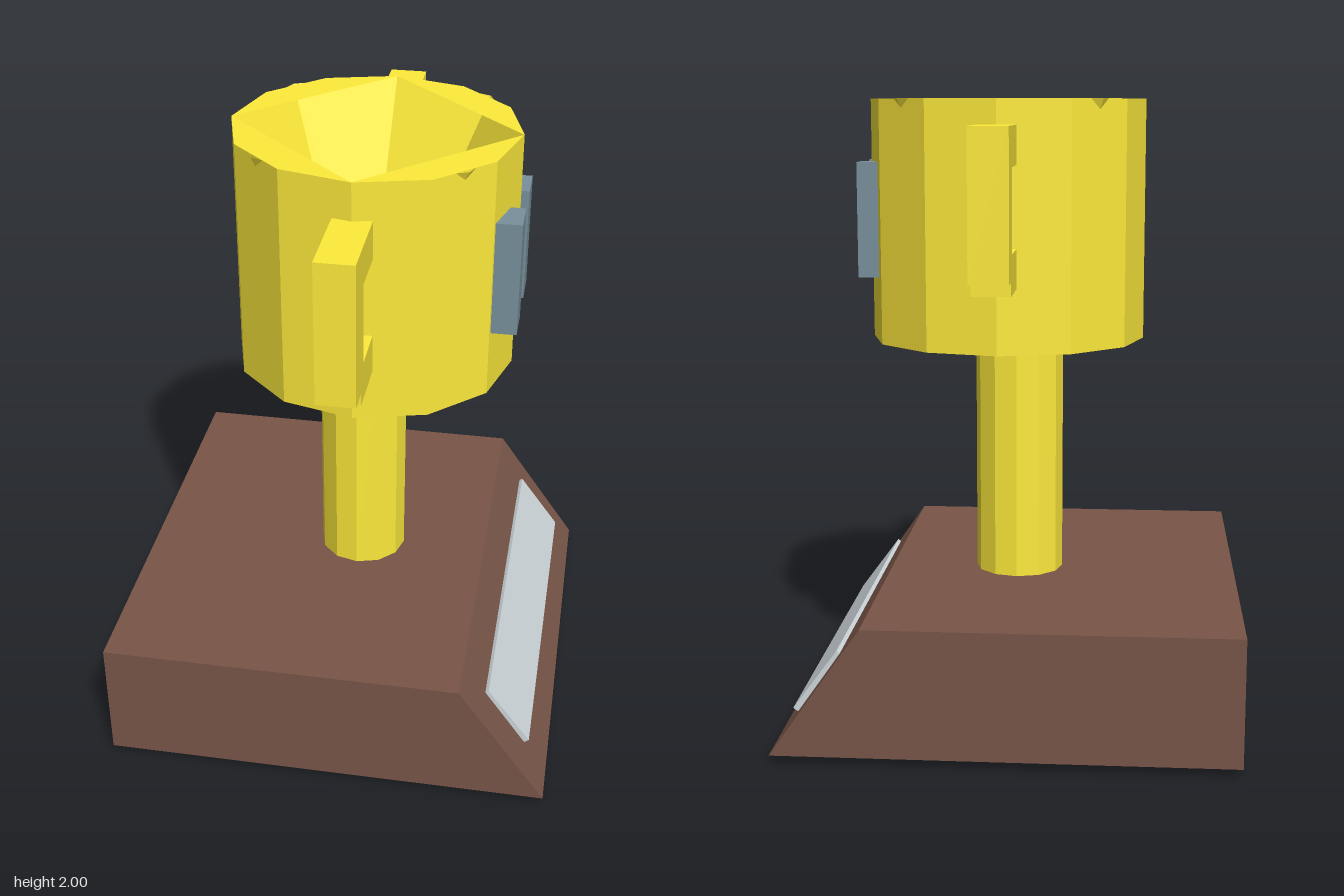
import * as THREE from 'three';

const mat = (color, side = THREE.FrontSide) =>
  new THREE.MeshStandardMaterial({ color, side, flatShading: true });

export function createModel() {
  const group = new THREE.Group();
  const gold = mat(0xffeb3b), goldThin = mat(0xffeb3b, THREE.DoubleSide);
  const brown = mat(0x795548), silver = mat(0xcfd8dc), slate = mat(0x78909c);

  const add = (name, geometry, material, x = 0, y = 0, z = 0) => {
    const mesh = new THREE.Mesh(geometry, material);
    mesh.name = name;
    mesh.position.set(x, y, z);
    group.add(mesh);
    return mesh;
  };
  const shapeOf = (pts) => new THREE.Shape(pts.map(([x, y]) => new THREE.Vector2(x, y)));
  const extrude = (shape, depth) =>
    new THREE.ExtrudeGeometry(shape, { depth, bevelEnabled: false }).translate(0, 0, -depth / 2);
  const ring = (n, rx, rz) => Array.from({ length: n }, (_, i) => {
    const a = (i / n) * Math.PI * 2;
    return [Math.cos(a) * rx, Math.sin(a) * rz];
  });

  // Plinth with one sloping side
  add('base', extrude(shapeOf([[-0.725, 0.027], [0.716, 0.027], [0.43, 0.435], [-0.725, 0.435]]), 1.48), brown);

  // Plaque block set deep into the slope
  const plaque = add('plaque', new THREE.BoxGeometry(0.235, 0.236, 1.235), silver, 0.493, 0.168, -0.012);
  plaque.rotation.set(-0.009, 0, 0.635, 'ZYX');

  // Stem
  add('stem', new THREE.CylinderGeometry(0.145, 0.145, 0.83, 12), gold, 0, 0.835, -0.016);

  // Cup: twelve-sided wall, eight-sided funnel inside
  const cx = 0.04, rx = 0.45, rz = 0.432, top = 2, bottom = 1.22, floorY = 1.3;
  const wall = new THREE.CylinderGeometry(1, 1, top - bottom, 12, 1, true).scale(rx, 1, rz);
  add('cupWall', wall, goldThin, cx, (top + bottom) / 2, 0);
  add('cupUnderside', new THREE.ShapeGeometry(shapeOf(ring(12, rx, rz))).rotateX(Math.PI / 2), gold, cx, bottom, 0);

  const rim = shapeOf(ring(12, rx, rz));
  rim.holes.push(shapeOf(ring(8, rx * 0.997, rz * 0.997)));
  add('cupRim', new THREE.ShapeGeometry(rim).rotateX(-Math.PI / 2), gold, cx, top, 0);

  const funnel = new THREE.CylinderGeometry(1, 1, 1, 8, 1, true);
  const p = funnel.attributes.position;
  for (let i = 0; i < p.count; i++) {
    const x = p.getX(i), z = p.getZ(i);
    if (p.getY(i) > 0) p.setXYZ(i, cx + x * rx, top, z * rz);
    else p.setXYZ(i, 0.008 + x * 0.098, floorY, z * 0.098);
  }
  funnel.computeVertexNormals();
  add('cupInside', funnel, goldThin);
  add('cupFloor', new THREE.ShapeGeometry(shapeOf(ring(8, 0.098, 0.098))).rotateX(-Math.PI / 2), gold, 0.008, floorY, 0);

  // Angular handles, the rear one slightly higher; outline is (distance from axis, height)
  const handleShape = shapeOf([
    [0.42, 0], [0.622, 0], [0.622, 0.042], [0.703, 0.042], [0.703, 0.495], [0.42, 0.495],
    [0.42, 0.375], [0.582, 0.375], [0.582, 0.122], [0.42, 0.122],
  ]);
  for (const [name, side, y] of [['frontHandle', 1, 1.385], ['backHandle', -1, 1.427]]) {
    const handle = add(name, extrude(handleShape, 0.12), gold, cx, y, 0);
    handle.rotation.y = -side * Math.PI / 2;
  }

  // Two upright tabs on the cup's side
  for (const [name, z] of [['frontTab', 0.146], ['backTab', -0.101]]) {
    add(name, new THREE.BoxGeometry(0.1, 0.37, 0.121), slate, 0.463, 1.615, z);
  }
  return group;
}
